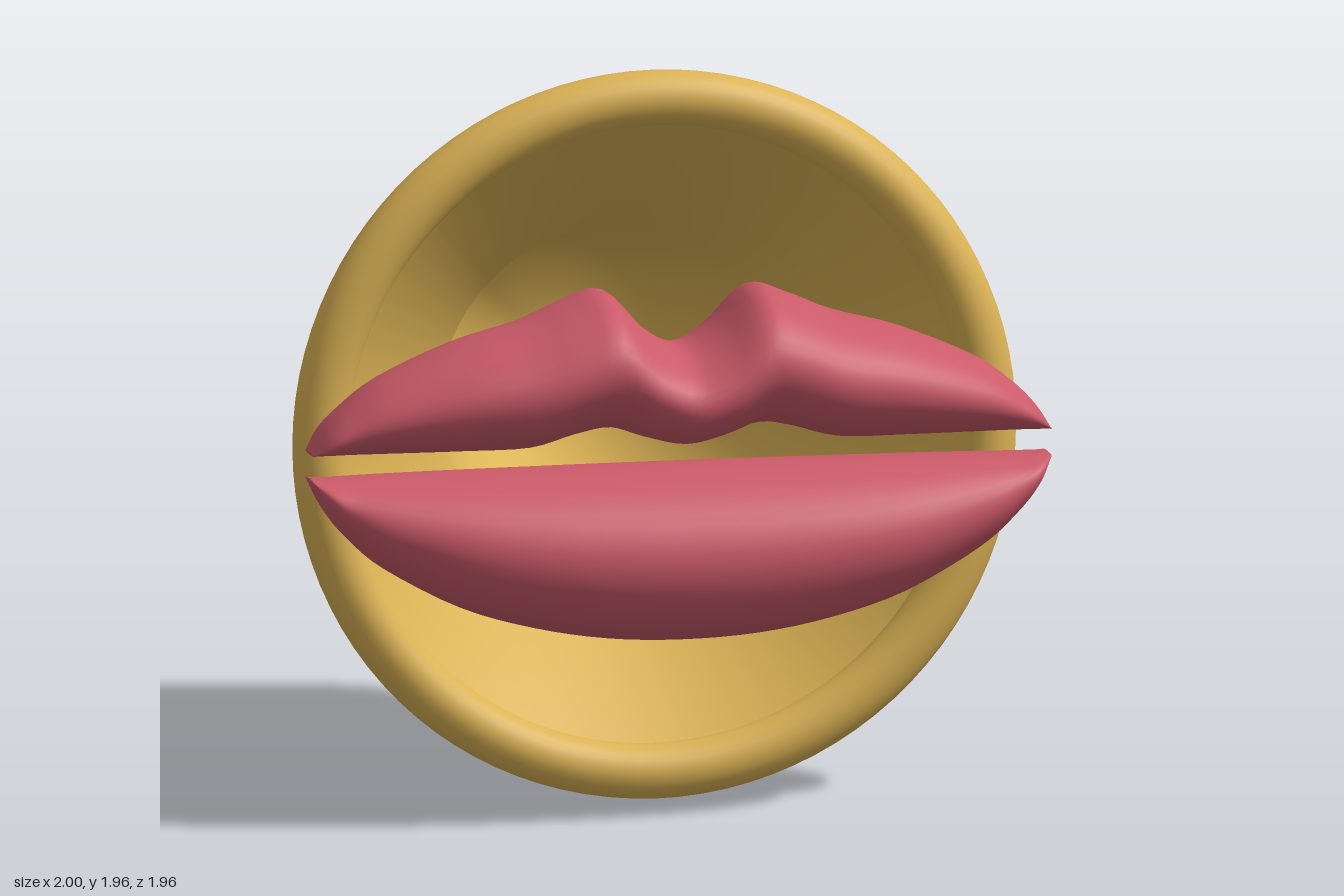
import * as THREE from 'three';

const gold = new THREE.MeshStandardMaterial({ color: 0xdcb355, side: THREE.DoubleSide });
gold.name = 'gold';
const rose = new THREE.MeshStandardMaterial({ color: 0xcb5a69 });
rose.name = 'rose';

const CENTER_Y = 0.98;
const LIP_Z = 0.692;

function addMesh(group, name, geometry, material) {
  const mesh = new THREE.Mesh(geometry, material);
  mesh.name = name;
  group.add(mesh);
  return mesh;
}

// Skins elliptical cross-sections along x; stations are [x, bottom, top, halfDepth] for one half
function lipGeometry(half) {
  const mirrored = half.slice(1).reverse().map(([x, ...rest]) => [-x, ...rest]);
  const stations = [...mirrored, ...half];
  const heights = new THREE.CatmullRomCurve3(
    stations.map(([x, b, t]) => new THREE.Vector3(x, b, t)), false, 'catmullrom', 0.5);
  const depths = new THREE.CatmullRomCurve3(
    stations.map(([x, , , d]) => new THREE.Vector3(x, d, 0)), false, 'catmullrom', 0.5);

  const rings = (stations.length - 1) * 4, sides = 40;
  const positions = [], indices = [];
  for (let i = 0; i <= rings; i++) {
    const h = heights.getPoint(i / rings);
    const depth = depths.getPoint(i / rings).y;
    const mid = (h.y + h.z) / 2, halfHeight = (h.z - h.y) / 2;
    for (let j = 0; j < sides; j++) {
      const a = (j / sides) * Math.PI * 2;
      positions.push(h.x, mid + halfHeight * Math.cos(a), LIP_Z + depth * Math.sin(a));
    }
  }
  for (let i = 0; i < rings; i++) {
    for (let j = 0; j < sides; j++) {
      const k = (j + 1) % sides;
      const p = i * sides + j, q = i * sides + k;
      indices.push(p, q, p + sides, q, q + sides, p + sides);
    }
  }
  // End caps
  const last = rings * sides;
  for (let j = 1; j < sides - 1; j++) {
    indices.push(0, j + 1, j, last, last + j, last + j + 1);
  }
  const geometry = new THREE.BufferGeometry();
  geometry.setAttribute('position', new THREE.Float32BufferAttribute(positions, 3));
  geometry.setIndex(indices);
  geometry.computeVertexNormals();
  return geometry;
}

export function createModel() {
  const model = new THREE.Group();
  model.name = 'lipsAndMouthpiece';

  // Flared cup narrowing into a closed stem
  const profile = [[0, -0.98], [0.285, -0.972], [0.475, -0.115], [0.915, 0.39]];
  const cup = new THREE.LatheGeometry(profile.map(([r, z]) => new THREE.Vector2(r, z)), 64);
  cup.rotateX(Math.PI / 2);
  addMesh(model, 'cupAndStem', cup, gold).position.y = CENTER_Y;

  // Rounded rim
  const rim = new THREE.TorusGeometry(0.906, 0.074, 24, 96);
  addMesh(model, 'rim', rim, gold).position.set(0, CENTER_Y, 0.39);

  // Upper lip with a dipped bow in the middle
  addMesh(model, 'upperLip', lipGeometry([
    [0, 1.015, 1.275, 0.288],
    [0.1, 1.035, 1.325, 0.287],
    [0.2, 1.065, 1.425, 0.284],
    [0.3, 1.05, 1.4, 0.279],
    [0.42, 1.018, 1.35, 0.268],
    [0.6, 1.015, 1.3, 0.24],
    [0.8, 1.015, 1.215, 0.185],
    [0.9, 1.015, 1.145, 0.145],
    [0.96, 1.015, 1.085, 0.115],
    [1, 1.015, 1.022, 0.055],
  ]), rose);

  // Lower lip, flat along its top edge
  addMesh(model, 'lowerLip', lipGeometry([
    [0, 0.485, 0.957, 0.288],
    [0.2, 0.495, 0.957, 0.284],
    [0.4, 0.53, 0.956, 0.27],
    [0.6, 0.592, 0.955, 0.24],
    [0.8, 0.7, 0.953, 0.185],
    [0.9, 0.785, 0.951, 0.145],
    [0.96, 0.86, 0.95, 0.115],
    [1, 0.94, 0.95, 0.055],
  ]), rose);

  return model;
}
